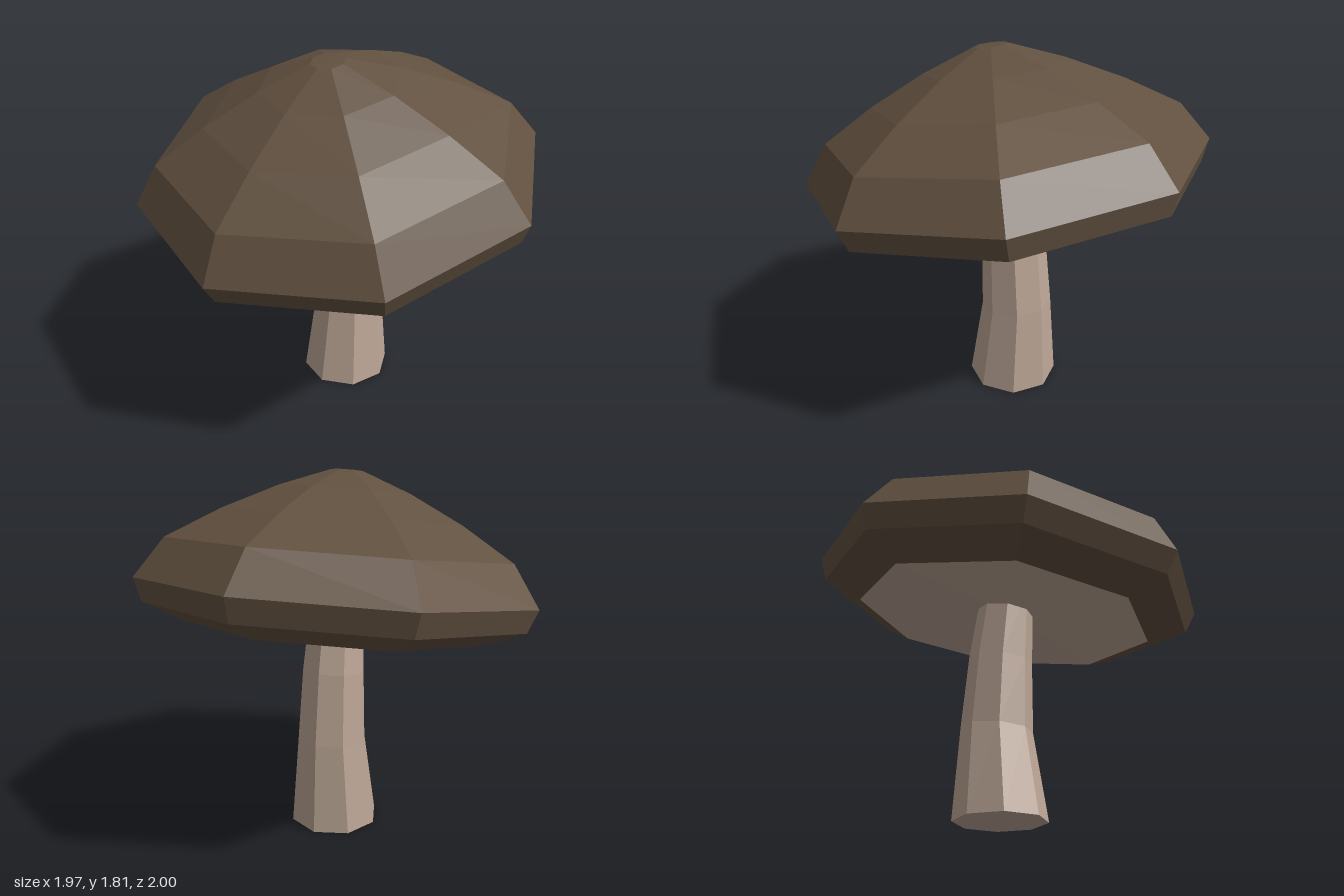
import * as THREE from 'three';

const SIDES = 8;
const TILT = 0.167;

export function createModel() {
  const capBrown = new THREE.MeshStandardMaterial({ color: 0x625140, flatShading: true });
  capBrown.name = 'capBrown';
  const paleFlesh = new THREE.MeshStandardMaterial({ color: 0xbca696, flatShading: true });
  paleFlesh.name = 'paleFlesh';

  const mushroom = new THREE.Group();
  mushroom.name = 'mushroom';

  const add = (name, geometry, material, parent) => {
    const mesh = new THREE.Mesh(geometry, material);
    mesh.name = name;
    parent.add(mesh);
  };
  const lathe = (profile) =>
    new THREE.LatheGeometry(profile.map(([r, y]) => new THREE.Vector2(r, y)), SIDES);

  // Tilted head: brown cap and the shallow hollow of gills below it
  const head = new THREE.Group();
  head.name = 'head';
  head.position.y = 1.235;
  head.rotation.z = TILT;
  mushroom.add(head);

  add('cap', lathe([
    [0.76, -0.192], [0.957, -0.111], [1.0, 0], [0.866, 0.193],
    [0.61, 0.345], [0.34, 0.475], [0.083, 0.572], [0, 0.575],
  ]), capBrown, head);
  add('gills', lathe([[0, -0.14], [0.76, -0.192]]), paleFlesh, head);

  // Bent stem: rings from the ground up, each with a centre, radius and tilt
  const rings = [
    { x: 0.055, y: 0, r: 0.23, tilt: 0 },
    { x: 0.08, y: 0.455, r: 0.18, tilt: 0.1 },
    { x: 0.058, y: 0.82, r: 0.162, tilt: 0.13 },
    { x: 0.012, y: 1.2, r: 0.136, tilt: TILT },
  ];
  const stem = new THREE.CylinderGeometry(1, 1, 3, SIDES, 3);
  const p = stem.attributes.position;
  for (let i = 0; i < p.count; i++) {
    const { x, y, r, tilt } = rings[Math.round(p.getY(i) + 1.5)];
    const across = p.getX(i) * r;
    p.setXYZ(i, x + across * Math.cos(tilt), y + across * Math.sin(tilt), p.getZ(i) * r);
  }
  stem.computeVertexNormals();
  add('stem', stem, paleFlesh, mushroom);

  return mushroom;
}
